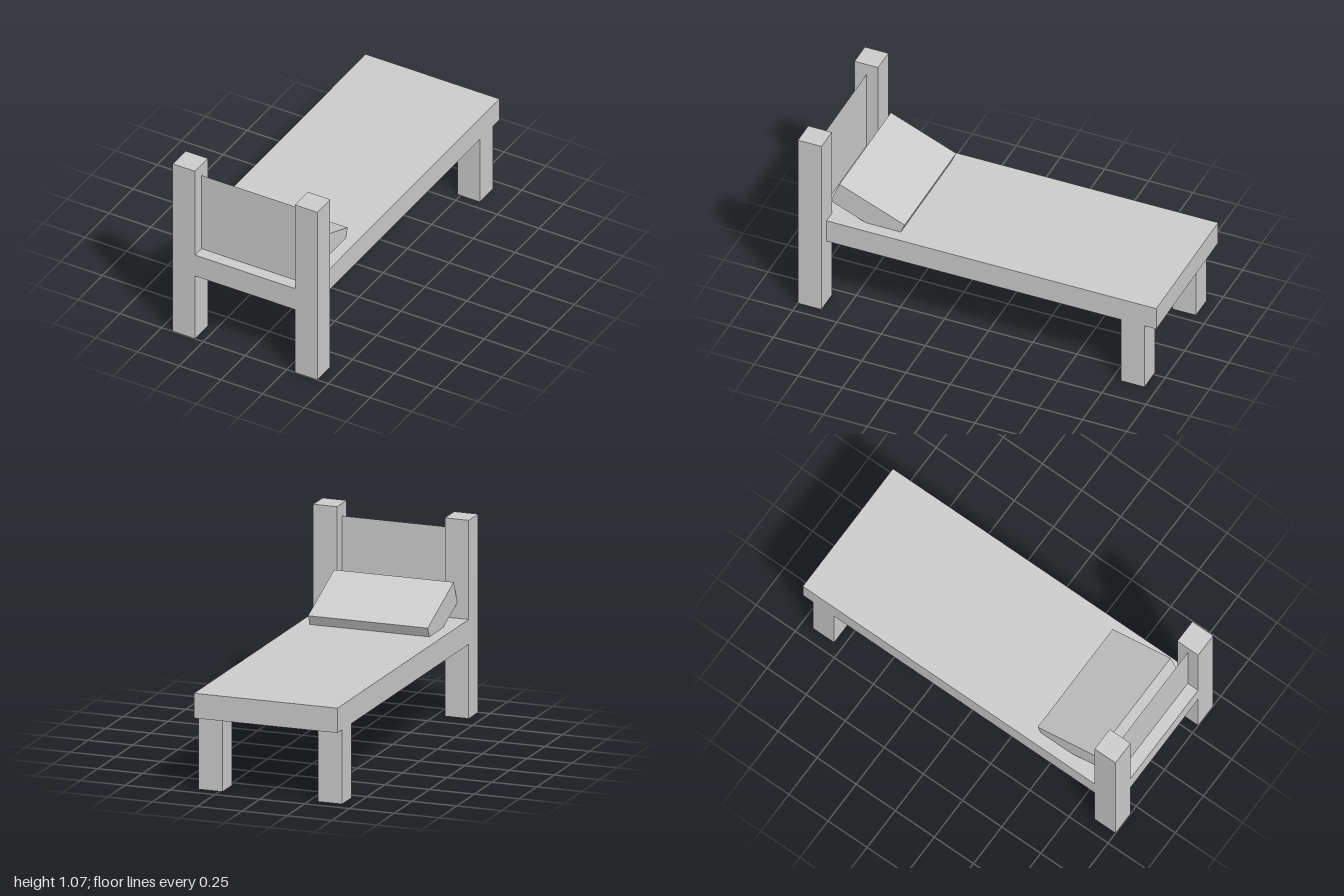
import * as THREE from 'three';

const material = new THREE.MeshStandardMaterial({ color: 0xcccccc, flatShading: true });
const T = 0.1333; // common thickness of posts, legs, slab and pillow

export function createModel() {
  const group = new THREE.Group();

  // Box given by its min/max along each axis
  const addBox = (name, [x0, x1], [y0, y1], [z0, z1]) => {
    const mesh = new THREE.Mesh(new THREE.BoxGeometry(x1 - x0, y1 - y0, z1 - z0), material);
    mesh.position.set((x0 + x1) / 2, (y0 + y1) / 2, (z0 + z1) / 2);
    mesh.name = name;
    group.add(mesh);
    return mesh;
  };

  // Mattress slab, flush with the right post and set in from the left one
  addBox('mattress', [-0.4333, 0.3667], [0.4, 0.5333], [-1, 1]);

  // Tall headboard posts
  addBox('rightPost', [-0.4333, -0.3], [0, 1.0667], [1 - T, 1]);
  addBox('leftPost', [0.3, 0.4333], [0, 1.0667], [1 - T, 1]);

  // Short legs at the foot end, flush with the slab sides
  addBox('rightFootLeg', [-0.4333, -0.3], [0, 0.4], [-0.9333, -0.8]);
  addBox('leftFootLeg', [0.2333, 0.3667], [0, 0.4], [-0.9333, -0.8]);

  // Thin headboard panel between the posts
  const panelMaterial = material.clone();
  panelMaterial.side = THREE.DoubleSide;
  const headboard = new THREE.Mesh(new THREE.PlaneGeometry(0.6, 0.4667), panelMaterial);
  headboard.position.set(0, 0.7667, 0.9333);
  headboard.name = 'headboard';
  group.add(headboard);

  // Pillow leaning against the headboard
  const pillow = addBox('pillow', [-0.3667, 0.3], [0.534, 0.6673], [0.464, 0.864]);
  pillow.rotation.x = -Math.PI / 8;

  return group;
}
